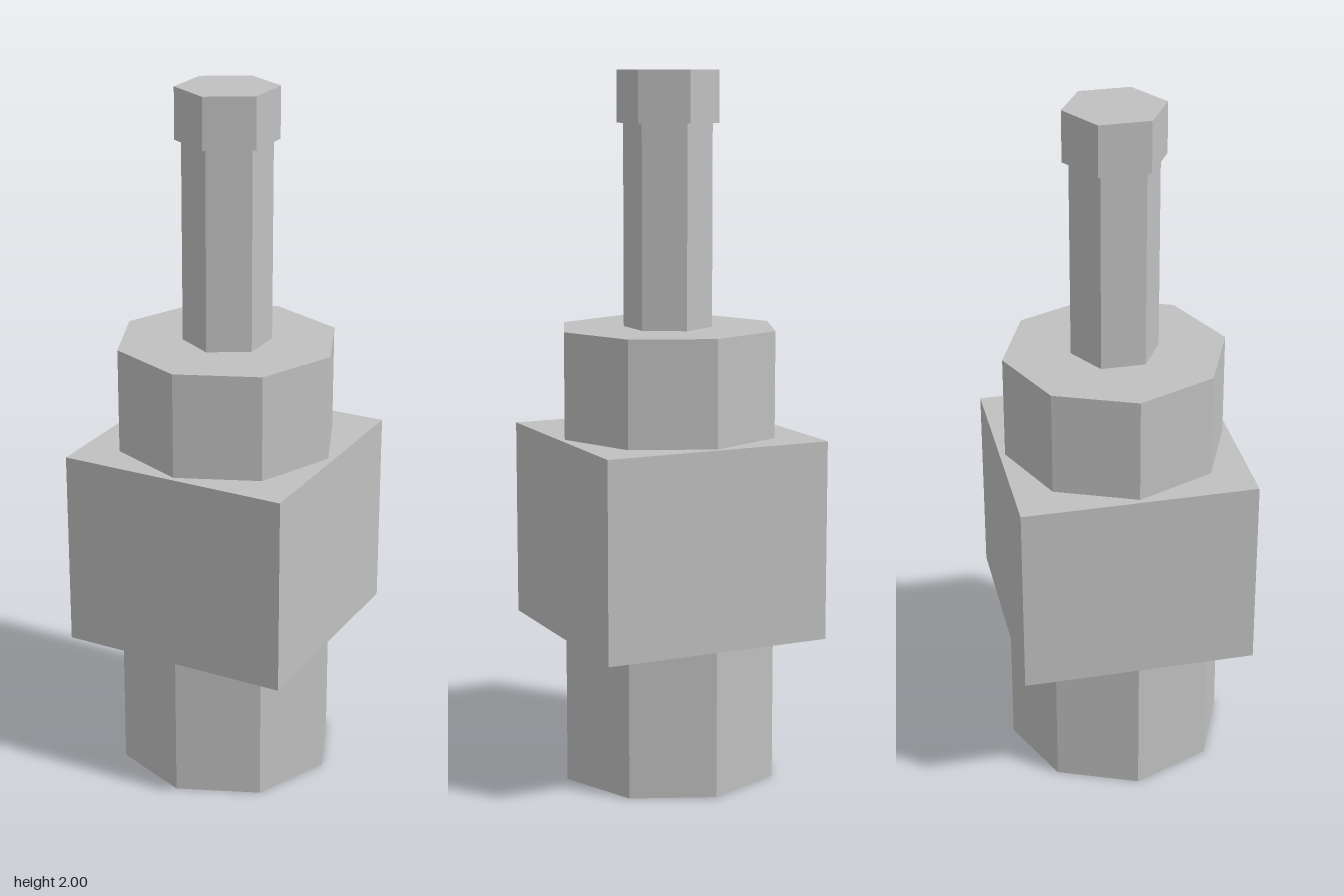
import * as THREE from 'three';

export function createModel() {
  const model = new THREE.Group();
  const grey = new THREE.MeshStandardMaterial({ color: 0xc0c0c0, flatShading: true });
  grey.name = 'grey metal';

  const add = (name, geometry, bottom, top) => {
    const mesh = new THREE.Mesh(geometry, grey);
    mesh.name = name;
    mesh.position.y = (bottom + top) / 2;
    model.add(mesh);
  };

  // Upright prism with a corner facing the front
  const prism = (name, radius, sides, bottom, top) =>
    add(name, new THREE.CylinderGeometry(radius, radius, top - bottom, sides), bottom, top);

  // Octagonal collars below and above the square body
  prism('lowerCollar', 0.317, 8, 0, 0.42);
  add('body', new THREE.BoxGeometry(0.666, 0.565, 0.666), 0.42, 0.985);
  prism('upperCollar', 0.317, 8, 0.985, 1.286);

  // Hexagonal stem and its wider cap
  prism('stem', 0.125, 6, 1.286, 1.855);
  prism('cap', 0.143, 6, 1.855, 2);

  return model;
}
